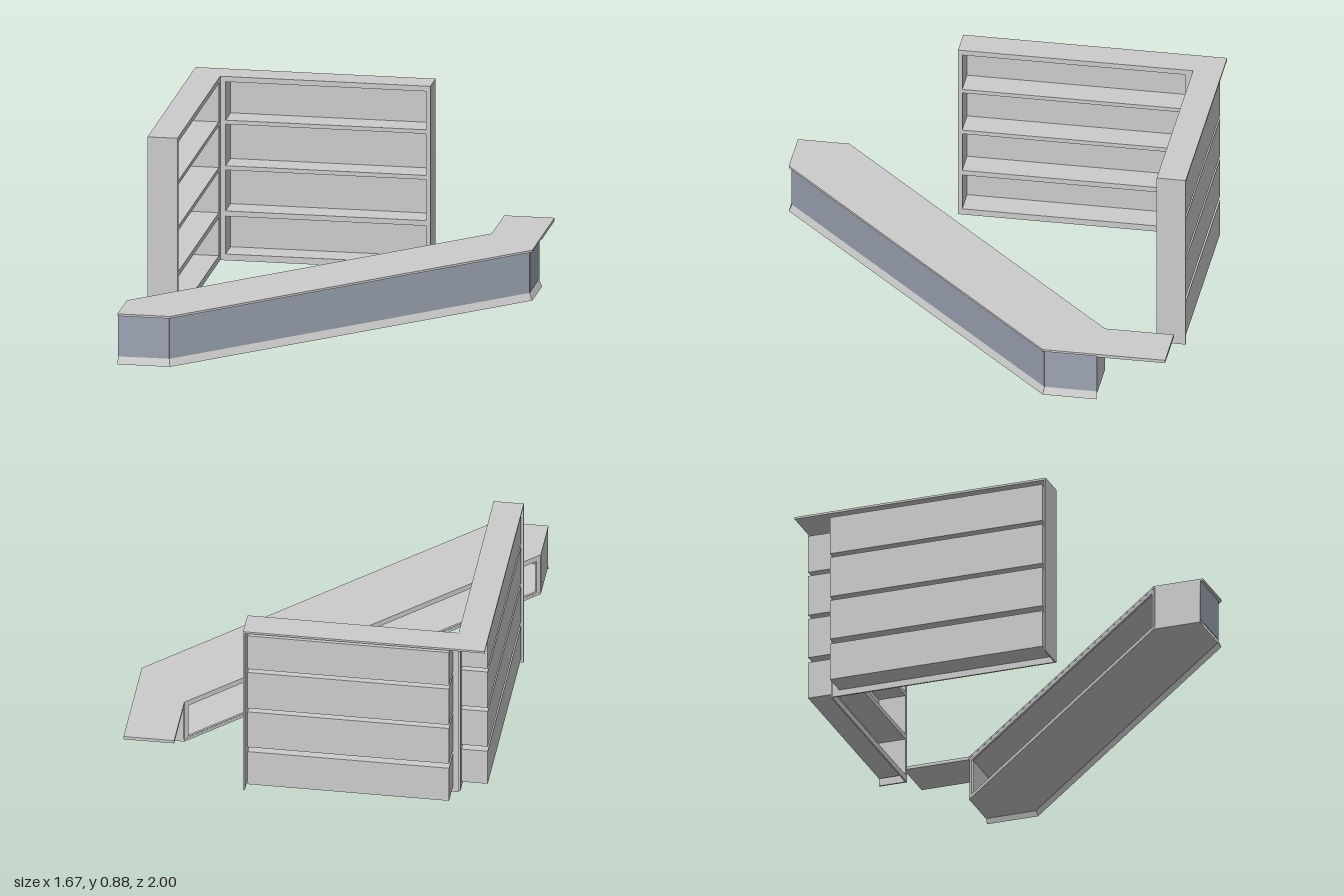
import * as THREE from 'three';

const grey = new THREE.MeshStandardMaterial({ color: 0xcccccc, side: THREE.DoubleSide });
const glass = new THREE.MeshStandardMaterial({ color: 0x9ca4b2, side: THREE.DoubleSide });

function add(parent, name, geometry, material = grey) {
  const mesh = new THREE.Mesh(geometry, material);
  mesh.name = name;
  parent.add(mesh);
  return mesh;
}

// Flat slab with an outline of [x, z] points between two heights
function slab(parent, name, points, y0, y1) {
  const shape = new THREE.Shape(points.map(([x, z]) => new THREE.Vector2(x, -z)));
  const geo = new THREE.ExtrudeGeometry(shape, { depth: y1 - y0, bevelEnabled: false });
  geo.rotateX(-Math.PI / 2).translate(0, y0, 0);
  return add(parent, name, geo);
}

// Upright panel standing between two [x, z] points
function panel(parent, name, p, q, y0, y1, t, material = grey) {
  const dx = q[0] - p[0], dz = q[1] - p[1];
  const mesh = add(parent, name, new THREE.BoxGeometry(Math.hypot(dx, dz), y1 - y0, t), material);
  mesh.position.set((p[0] + q[0]) / 2, (y0 + y1) / 2, (p[1] + q[1]) / 2);
  mesh.rotation.y = -Math.atan2(dz, dx);
  return mesh;
}

const rows = [[0.03, 0.21], [0.235, 0.43], [0.45, 0.648], [0.667, 0.85]];
const height = 0.875;

// Shelf wall facing +z, with its front plane at z = 0 and recessed bays behind
function shelfWall(name, x0, x1, open0, open1) {
  const wall = new THREE.Group();
  wall.name = name;
  const face = new THREE.Shape([[x0, 0], [x1, 0], [x1, height], [x0, height]]
    .map(p => new THREE.Vector2(...p)));
  for (const [y0, y1] of rows) {
    face.holes.push(new THREE.Path([[open0, y0], [open0, y1], [open1, y1], [open1, y0]]
      .map(p => new THREE.Vector2(...p))));
    // Bay: a box without its front side
    const bay = new THREE.BoxGeometry(open1 - open0, y1 - y0, 0.125);
    const index = Array.from(bay.index.array);
    index.splice(24, 6);
    bay.setIndex(index);
    bay.clearGroups();
    bay.translate((open0 + open1) / 2, (y0 + y1) / 2, -0.0675);
    add(wall, 'shelfBay', bay);
  }
  const frame = new THREE.ExtrudeGeometry(face, { depth: 0.008, bevelEnabled: false });
  frame.translate(0, 0, -0.008);
  add(wall, 'shelfFrame', frame);
  return wall;
}

function createShelving() {
  const group = new THREE.Group();
  group.name = 'cornerShelving';

  const back = shelfWall('backShelves', -0.70, 0.28, -0.675, 0.26);
  back.position.z = -0.865;
  const side = shelfWall('sideShelves', -0.23, 0.865, -0.21, 0.83);
  side.rotation.y = Math.PI / 2;
  side.position.x = -0.70;
  group.add(back, side);

  // Closing panels at the free ends, and the L-shaped top
  panel(group, 'backEndPanel', [0.276, -1], [0.276, -0.865], 0, height, 0.008);
  panel(group, 'sideEndPanel', [-0.84, 0.226], [-0.70, 0.226], 0, height, 0.008);
  slab(group, 'shelvingTop', [[-0.84, -1], [0.28, -1], [0.28, -0.865],
    [-0.70, -0.865], [-0.70, 0.23], [-0.84, 0.23]], height - 0.01, height);
  return group;
}

function createCounter() {
  const group = new THREE.Group();
  group.name = 'displayCounter';

  // Outline, from the back right end along the front to the left end
  const outer = [[0.835, -0.68], [0.835, -0.43], [-0.595, 1], [-0.84, 1]];
  const inner = [[0.82, -0.68], [0.82, -0.436], [-0.601, 0.985], [-0.84, 0.985]];
  const rear = [[-0.84, 0.76], [0.60, -0.68]];

  slab(group, 'counterTop', [...outer, ...rear], 0.23, 0.24);
  slab(group, 'counterFloor', [...inner, ...rear], 0.022, 0.035);
  slab(group, 'sideLeaf', [[0.60, -1], [0.835, -1], [0.835, -0.68], [0.60, -0.68]], 0.225, 0.24);

  // Glazed front sides and the sloping skirt below them
  const skirt = [];
  for (let i = 0; i < 3; i++) {
    panel(group, 'glassPanel', inner[i], inner[i + 1], 0.035, 0.23, 0.006, glass);
    const [a, b] = [outer[i], outer[i + 1]].map(([x, z]) => [x, 0, z]);
    const [c, d] = [inner[i + 1], inner[i]].map(([x, z]) => [x, 0.035, z]);
    skirt.push(...a, ...c, ...b, ...a, ...d, ...c);
  }
  const skirtGeo = new THREE.BufferGeometry();
  skirtGeo.setAttribute('position', new THREE.Float32BufferAttribute(skirt, 3));
  skirtGeo.computeVertexNormals();
  add(group, 'skirt', skirtGeo);

  // Solid ends
  panel(group, 'leftEndPanel', [-0.835, 0.765], [-0.835, 0.985], 0.022, 0.23, 0.01);
  panel(group, 'rightEndPanel', [0.605, -0.675], [0.82, -0.675], 0.022, 0.23, 0.01);

  // Open rear: rails and end posts
  const [e, f] = [[-0.836, 0.764], [0.604, -0.676]];
  const at = t => [e[0] + (f[0] - e[0]) * t, e[1] + (f[1] - e[1]) * t];
  panel(group, 'rearLowerRail', e, f, 0.022, 0.042, 0.01);
  panel(group, 'rearUpperRail', e, f, 0.212, 0.23, 0.01);
  panel(group, 'rearPost', e, at(0.012), 0.022, 0.23, 0.01);
  panel(group, 'rearPost', at(0.988), f, 0.022, 0.23, 0.01);
  return group;
}

export function createModel() {
  const model = new THREE.Group();
  model.name = 'shopCounterAndShelves';
  model.add(createShelving(), createCounter());
  return model;
}
